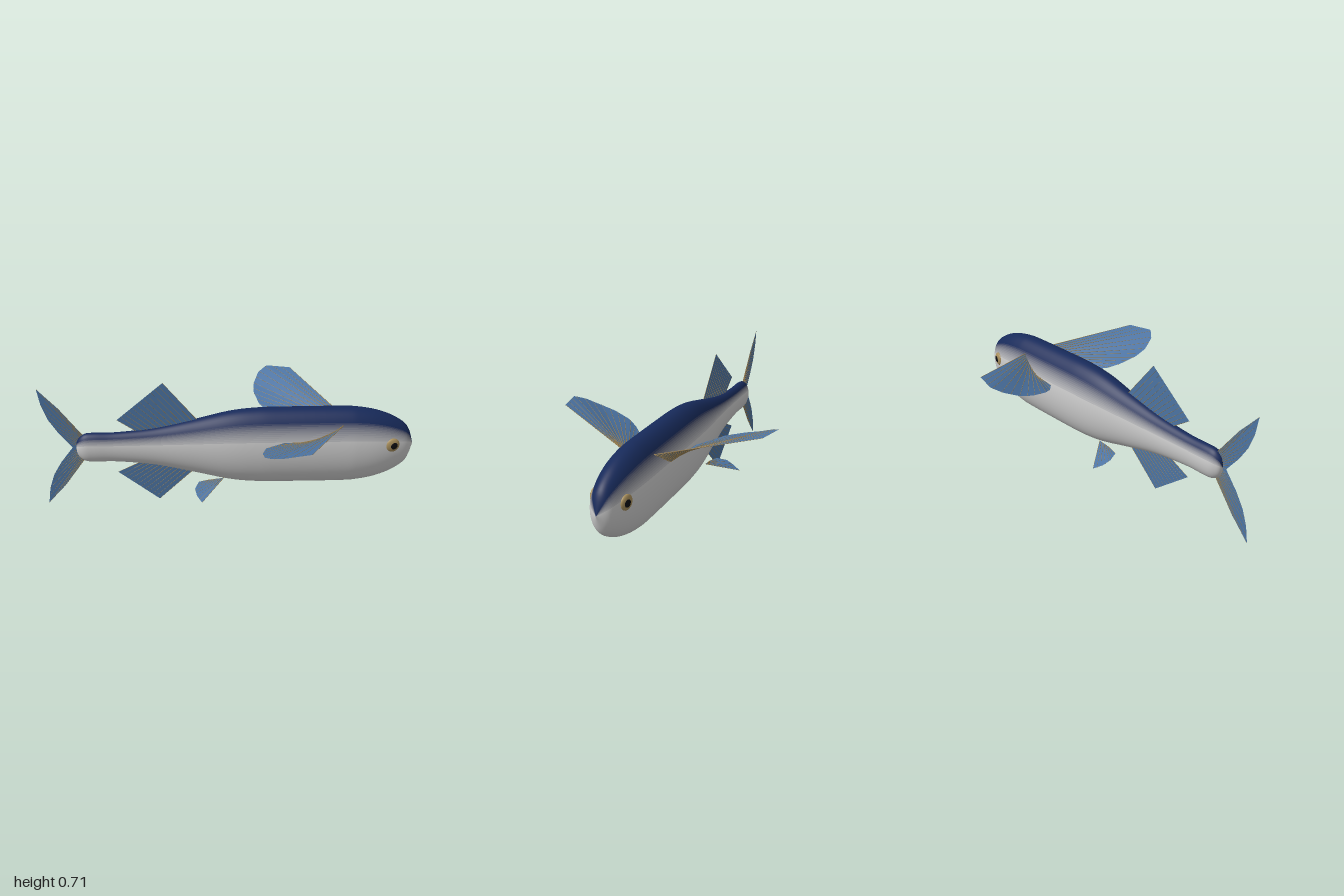
import * as THREE from 'three';
import { mergeGeometries } from 'three/addons/utils/BufferGeometryUtils.js';

const MID = 0.345; // height of the body axis
const mat = (color, side = THREE.FrontSide) => new THREE.MeshStandardMaterial({ color, side });
const membraneMat = mat(0x4c74a4, THREE.DoubleSide);
const rayMat = mat(0x9a8050);
const V = (p) => new THREE.Vector3(...p);

function add(parent, name, geometry, material) {
  const mesh = new THREE.Mesh(geometry, material);
  mesh.name = name;
  parent.add(mesh);
  return mesh;
}

// Point at fraction t along a polyline
function along(points, t) {
  const lengths = points.slice(1).map((p, i) => p.distanceTo(points[i]));
  let d = t * lengths.reduce((a, b) => a + b, 0);
  for (let i = 0; i < lengths.length; i++) {
    if (d <= lengths[i] || i === lengths.length - 1) {
      return points[i].clone().lerp(points[i + 1], Math.min(1, d / lengths[i]));
    }
    d -= lengths[i];
  }
}

// Thin tapered spine between two points
function spine(a, b, r) {
  const dir = b.clone().sub(a);
  const g = new THREE.CylinderGeometry(r * 0.4, r, dir.length(), 5);
  g.applyQuaternion(new THREE.Quaternion().setFromUnitVectors(new THREE.Vector3(0, 1, 0), dir.normalize()));
  return g.translate(...a.clone().add(b).multiplyScalar(0.5).toArray());
}

// Fin: web stretched from a root line to an outer edge, with rays across it
function fin(name, rootA, rootB, edge, rays, r = 0.0018) {
  const group = new THREE.Group();
  group.name = name;
  const root = [V(rootA), V(rootB)], outer = edge.map(V);
  const steps = 48, pos = [], idx = [], spines = [];
  for (let i = 0; i <= steps; i++) {
    pos.push(...along(root, i / steps).toArray(), ...along(outer, i / steps).toArray());
    const k = i * 2;
    if (i < steps) idx.push(k, k + 1, k + 2, k + 1, k + 3, k + 2);
  }
  const web = new THREE.BufferGeometry();
  web.setAttribute('position', new THREE.Float32BufferAttribute(pos, 3));
  web.setIndex(idx);
  web.computeVertexNormals();
  add(group, 'finMembrane', web, membraneMat);
  for (let i = 0; i < rays; i++) {
    const t = i / (rays - 1);
    spines.push(spine(along(root, t), along(outer, t), r));
  }
  add(group, 'finRays', mergeGeometries(spines), rayMat);
  return group;
}

// Body: oval lathe made of lengthwise colour bands, dark back to pale belly
function body() {
  const group = new THREE.Group();
  group.name = 'body';
  const profile = new THREE.SplineCurve([
    [-0.82, 0], [-0.815, 0.035], [-0.8, 0.06], [-0.77, 0.08], [-0.72, 0.085], [-0.6, 0.086],
    [-0.4, 0.108], [-0.2, 0.152], [0, 0.2], [0.15, 0.217], [0.3, 0.22], [0.6, 0.22],
    [0.7, 0.214], [0.8, 0.194], [0.89, 0.157], [0.963, 0.1], [1, 0],
  ].map(([x, r]) => new THREE.Vector2(Math.max(0, r), x))).getPoints(96);
  profile.forEach((p) => { p.x = Math.max(0, p.x); });
  const band = (name, start, length, color) => {
    const segs = Math.max(1, Math.ceil(length / 0.1));
    const g = new THREE.LatheGeometry(profile, segs, start, length);
    g.rotateZ(-Math.PI / 2).scale(1, 1, 0.525).translate(0, MID, 0);
    add(group, name, g, mat(color));
  };
  const top = -Math.PI / 2, a0 = 0.74, a1 = 1.36, n = 12;
  const dark = new THREE.Color(0x172a5a), pale = new THREE.Color(0xcccccc);
  band('back', top - a0, 2 * a0, dark);
  const w = (a1 - a0) / n;
  for (let i = 0; i < n; i++) {
    const color = dark.clone().lerp(pale, (i + 0.5) / n);
    band('leftFlankBand', top + a0 + i * w, w, color);
    band('rightFlankBand', top - a0 - (i + 1) * w, w, color);
  }
  band('belly', top + a1, 2 * (Math.PI - a1), pale);
  return group;
}

export function createModel() {
  const model = new THREE.Group();
  model.name = 'flyingFish';
  model.add(body());

  // Paired fins and eyes
  for (const s of [1, -1]) {
    const side = s > 0 ? 'left' : 'right';
    const m = (pts) => pts.map(([x, y, z]) => [x, y, z * s]);
    model.add(fin(side + 'WingFin', ...m([[0.6, 0.495, 0.085], [0.49, 0.41, 0.105]]), m([
      [0.375, 0.572, 0.54], [0.24, 0.572, 0.573], [0.19, 0.547, 0.53], [0.16, 0.512, 0.45],
      [0.155, 0.49, 0.37], [0.18, 0.465, 0.27], [0.22, 0.445, 0.21], [0.28, 0.433, 0.155],
    ]), 14, 0.0025));
    model.add(fin(side + 'PelvicFin', ...m([[-0.03, 0.185, 0.075], [-0.1, 0.172, 0.07]]), m([
      [-0.148, 0.126, 0.23], [-0.175, 0.14, 0.185], [-0.185, 0.157, 0.14], [-0.165, 0.168, 0.085],
    ]), 8));

    const eye = new THREE.Group();
    eye.name = side + 'Eye';
    add(eye, 'iris', new THREE.SphereGeometry(0.039, 32, 20).scale(1, 1, 0.4), mat(0xa88f5c));
    add(eye, 'pupil', new THREE.SphereGeometry(0.023, 24, 16).scale(1, 1, 0.4), mat(0x0c0c10))
      .position.set(0.003, 0, 0.0085 * s);
    eye.position.set(0.872, 0.373, 0.082 * s);
    eye.rotation.y = 0.2 * s;
    model.add(eye);
  }

  // Upright fins on the centre line
  model.add(fin('dorsalFin', [-0.165, 0.495, 0], [-0.49, 0.435, 0], [[-0.345, 0.715, 0], [-0.595, 0.505, 0]], 13));
  model.add(fin('analFin', [-0.19, 0.2, 0], [-0.48, 0.25, 0], [[-0.385, 0.015, 0], [-0.605, 0.19, 0]], 12));

  // Forked tail, two mirrored lobes
  for (const s of [1, -1]) {
    const m = (pts) => pts.map(([x, dy]) => [x, MID + dy * s, 0]);
    model.add(fin(s > 0 ? 'upperTailLobe' : 'lowerTailLobe', ...m([[-0.78, 0.07], [-0.81, 0]]), m([
      [-0.9, 0.235], [-0.955, 0.295], [-1, 0.345], [-0.985, 0.25], [-0.955, 0.165], [-0.91, 0.09], [-0.84, 0],
    ]), 12));
  }
  return model;
}
